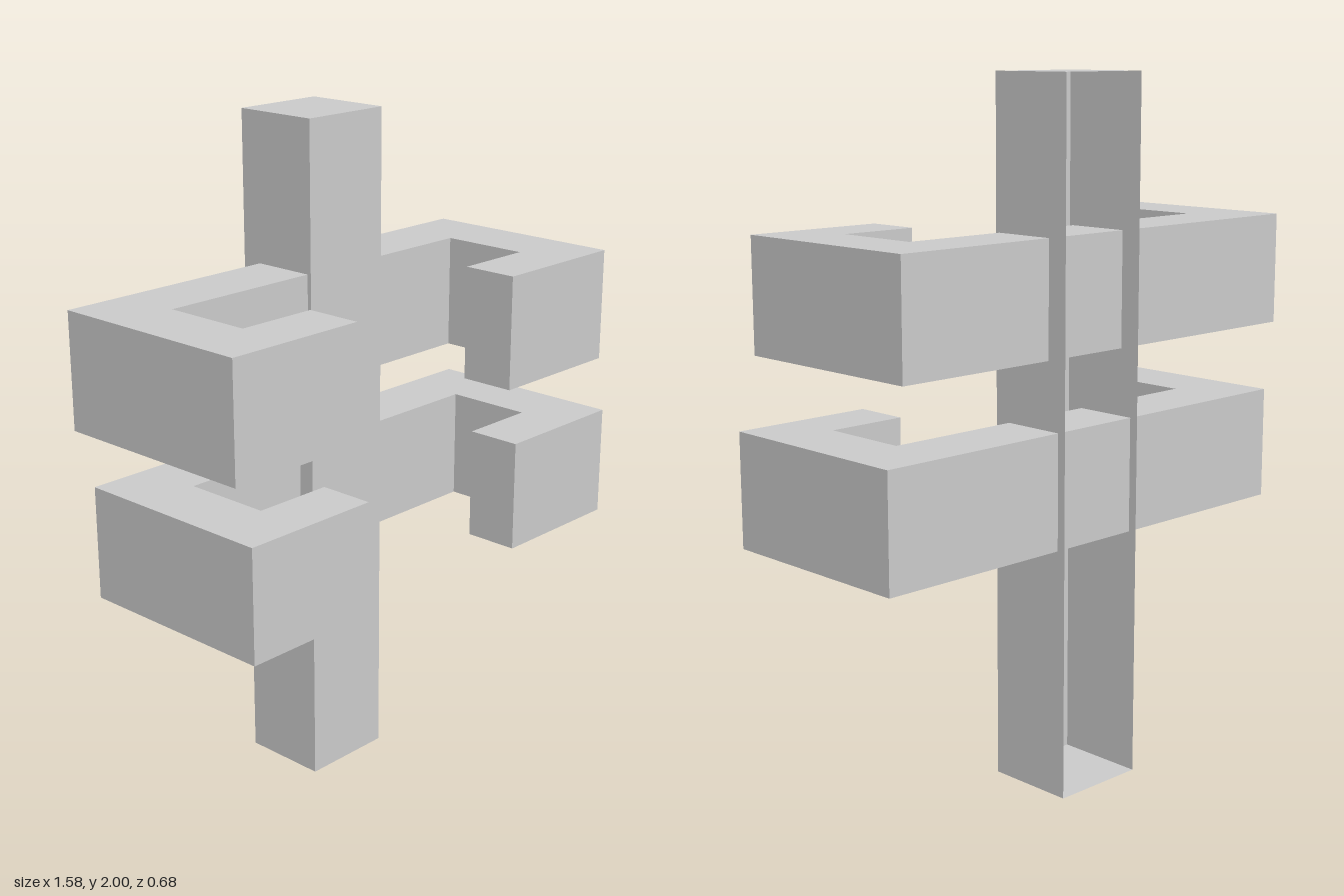
import * as THREE from 'three';

// Bracket: a wide C-shaped bar in plan, with two hooked ends facing each other
function makeBracket(name, x, y, z) {
  const half = [[0.745, -0.31], [0.745, 0.31], [0.315, 0.31], [0.315, 0.145], [0.555, 0.145], [0.555, -0.12]];
  const mirrored = half.map(([px, pz]) => [-px, pz]).reverse();
  const shape = new THREE.Shape([...half, ...mirrored].map(([px, pz]) => new THREE.Vector2(px, pz)));
  const height = 0.33;
  const geometry = new THREE.ExtrudeGeometry(shape, { depth: height, bevelEnabled: false });
  geometry.rotateX(Math.PI / 2); // plan outline into x/z, thickness along y
  const mesh = new THREE.Mesh(geometry, new THREE.MeshStandardMaterial({ color: 0xcccccc }));
  mesh.name = name;
  mesh.position.set(x, y + height, z);
  return mesh;
}

// Post: a thin-walled upright channel, open at the back
function makePost() {
  const geometry = new THREE.BoxGeometry(0.288, 2, 0.265);
  geometry.setIndex(Array.from(geometry.index.array).slice(0, 30)); // drop the back wall
  geometry.clearGroups();
  const material = new THREE.MeshStandardMaterial({ color: 0xcccccc, side: THREE.DoubleSide });
  const mesh = new THREE.Mesh(geometry, material);
  mesh.name = 'post';
  mesh.position.set(0.043, 1, -0.209);
  return mesh;
}

export function createModel() {
  const model = new THREE.Group();
  model.name = 'postWithBrackets';
  model.add(
    makePost(),
    makeBracket('upperBracket', -0.044, 1.238, 0.031),
    makeBracket('lowerBracket', 0.041, 0.715, -0.006),
  );
  return model;
}
